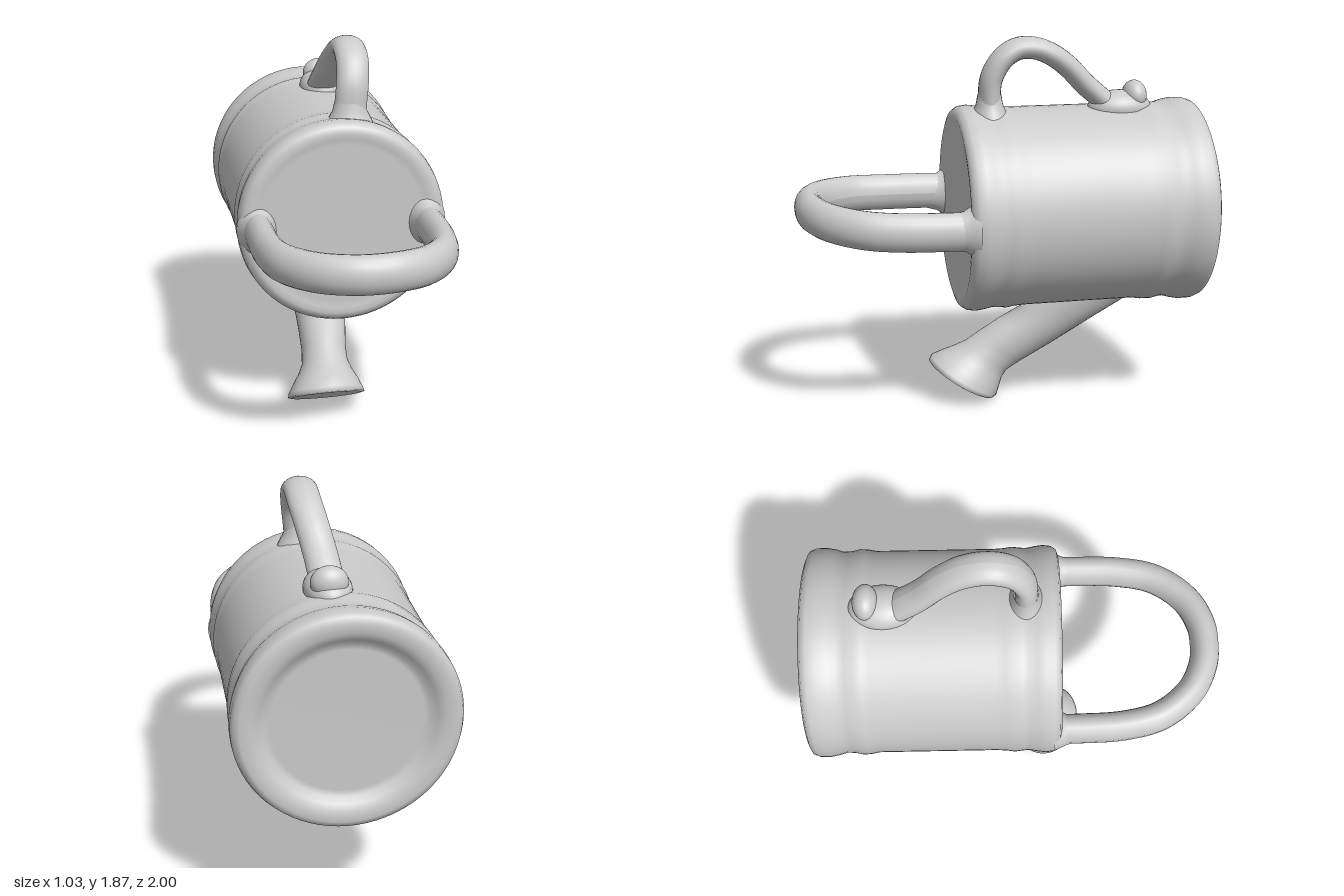
import * as THREE from 'three';

const mat = new THREE.MeshStandardMaterial({ color: 0xcccccc, side: THREE.DoubleSide });
const V2 = (a) => new THREE.Vector2(a[0], a[1]);
const V3 = (a) => new THREE.Vector3(...a);

function add(group, name, geometry) {
  const mesh = new THREE.Mesh(geometry, mat);
  mesh.name = name;
  group.add(mesh);
  return mesh;
}

// Tube along points; the cross-section is stretched along one axis afterwards
function stretchedTube(points, radius, stretch) {
  const pts = points.map((p) => V3(p).divide(stretch));
  const g = new THREE.TubeGeometry(new THREE.CatmullRomCurve3(pts), 80, radius, 20);
  g.scale(stretch.x, stretch.y, stretch.z);
  g.computeVertexNormals();
  return g;
}

// Skin through elliptical rings, each [upper z, upper y, lower z, lower y, centre x, half width]
function loft(rings, sides) {
  const pos = [], index = [];
  rings.forEach(([uz, uy, lz, ly, cx, w]) => {
    for (let i = 0; i < sides; i++) {
      const a = (i / sides) * Math.PI * 2, c = Math.cos(a), s = Math.sin(a);
      pos.push(cx + w * s, (uy + ly) / 2 + ((uy - ly) / 2) * c, (uz + lz) / 2 + ((uz - lz) / 2) * c);
    }
  });
  for (let r = 0; r < rings.length - 1; r++) {
    for (let i = 0; i < sides; i++) {
      const a = r * sides + i, b = r * sides + ((i + 1) % sides);
      index.push(a, a + sides, b, b, a + sides, b + sides);
    }
  }
  const g = new THREE.BufferGeometry();
  g.setAttribute('position', new THREE.Float32BufferAttribute(pos, 3));
  g.setIndex(index);
  g.computeVertexNormals();
  return g;
}

// Flared fillet where a handle meets the can
function collar(r) {
  return new THREE.LatheGeometry(
    [[r * 1.55, -0.03], [r * 1.3, 0.01], [r * 1.12, 0.035], [r * 0.98, 0.08]].map(V2), 24);
}

export function createModel() {
  const model = new THREE.Group();
  model.name = 'wateringCan';

  // Can lying on its side: recessed base at the back, raised bands near both ends
  const profile = [
    [0, -0.95], [0.34, -0.95], [0.37, -0.955], [0.395, -0.98], [0.43, -0.997], [0.475, -1],
    [0.502, -0.988], [0.513, -0.96], [0.514, -0.91], [0.505, -0.865], [0.494, -0.83],
    [0.496, -0.79], [0.505, -0.75], [0.503, -0.71], [0.495, -0.67], [0.495, -0.4],
    [0.495, -0.1], [0.498, -0.05], [0.504, -0.01], [0.499, 0.03], [0.497, 0.06],
    [0.505, 0.1], [0.51, 0.14], [0.505, 0.18], [0.488, 0.205], [0.46, 0.214],
    [0.43, 0.21], [0.4, 0.205], [0, 0.205],
  ].map(V2);
  const body = add(model, 'body', new THREE.LatheGeometry(profile, 72));
  body.rotation.x = Math.PI / 2;
  body.position.y = 1.023;

  // Large carrying hoop at the open end
  const hoop = [
    [-0.415, 1.02, 0.12], [-0.415, 1.025, 0.3], [-0.405, 1.03, 0.52], [-0.36, 1.04, 0.7],
    [-0.24, 1.05, 0.85], [-0.1, 1.055, 0.918], [0, 1.055, 0.928], [0.1, 1.055, 0.918],
    [0.24, 1.045, 0.85], [0.36, 1.03, 0.7], [0.405, 1.02, 0.52], [0.415, 1.015, 0.3],
    [0.415, 1.01, 0.12],
  ];
  add(model, 'hoopHandle', stretchedTube(hoop, 0.07, new THREE.Vector3(1, 1.32, 1)));
  for (const side of [-1, 1]) {
    const c = add(model, 'hoopCollar', collar(0.072));
    c.rotation.x = Math.PI / 2;
    c.scale.set(0.9, 1, 1.2);
    c.position.set(side * 0.415, 1.015, 0.205);
  }

  // Smaller arched handle on the upper side
  const arch = [
    [0.06, 1.46, 0.05], [0.065, 1.58, 0.052], [0.075, 1.68, 0.042], [0.085, 1.77, -0.01],
    [0.085, 1.815, -0.08], [0.085, 1.818, -0.16], [0.08, 1.785, -0.25], [0.065, 1.72, -0.34],
    [0.045, 1.63, -0.43], [0.035, 1.57, -0.5], [0.03, 1.5, -0.58],
  ];
  add(model, 'archHandle', stretchedTube(arch, 0.054, new THREE.Vector3(1.48, 1, 1)));
  const archCollar = add(model, 'archCollar', collar(0.058));
  archCollar.scale.x = 1.3;
  archCollar.position.set(0.06, 1.515, 0.05);

  // Thumb knob behind the arched handle, with its low swelling
  const knob = add(model, 'knob', new THREE.SphereGeometry(1, 28, 20));
  knob.scale.set(0.085, 0.075, 0.06);
  knob.position.set(0.04, 1.567, -0.685);
  const swelling = add(model, 'knobBase', new THREE.SphereGeometry(1, 28, 20));
  swelling.scale.set(0.11, 0.085, 0.16);
  swelling.position.set(0.035, 1.51, -0.61);

  // Spout widening into the sprinkler head, closed by a slightly sunken face
  const spout = [
    [-0.28, 0.66, -0.75, 0.6, -0.02, 0.17],
    [-0.12, 0.52, -0.67, 0.51, -0.025, 0.16],
    [-0.13, 0.475, -0.52, 0.42, -0.035, 0.14],
    [-0.02, 0.415, -0.3, 0.285, -0.045, 0.125],
    [0.08, 0.35, -0.13, 0.185, -0.058, 0.114],
    [0.15, 0.3, -0.06, 0.14, -0.065, 0.118],
    [0.21, 0.272, -0.035, 0.1, -0.07, 0.138],
    [0.27, 0.248, -0.02, 0.05, -0.075, 0.168],
    [0.325, 0.223, -0.008, 0.008, -0.08, 0.19],
    [0.337, 0.2, 0.01, 0, -0.08, 0.195],
    [0.32, 0.185, 0.03, 0.006, -0.08, 0.178],
    [0.29, 0.183, 0.045, 0.03, -0.08, 0.155],
    [0.167, 0.108, 0.167, 0.108, -0.08, 0],
  ];
  add(model, 'spout', loft(spout, 40));

  return model;
}
